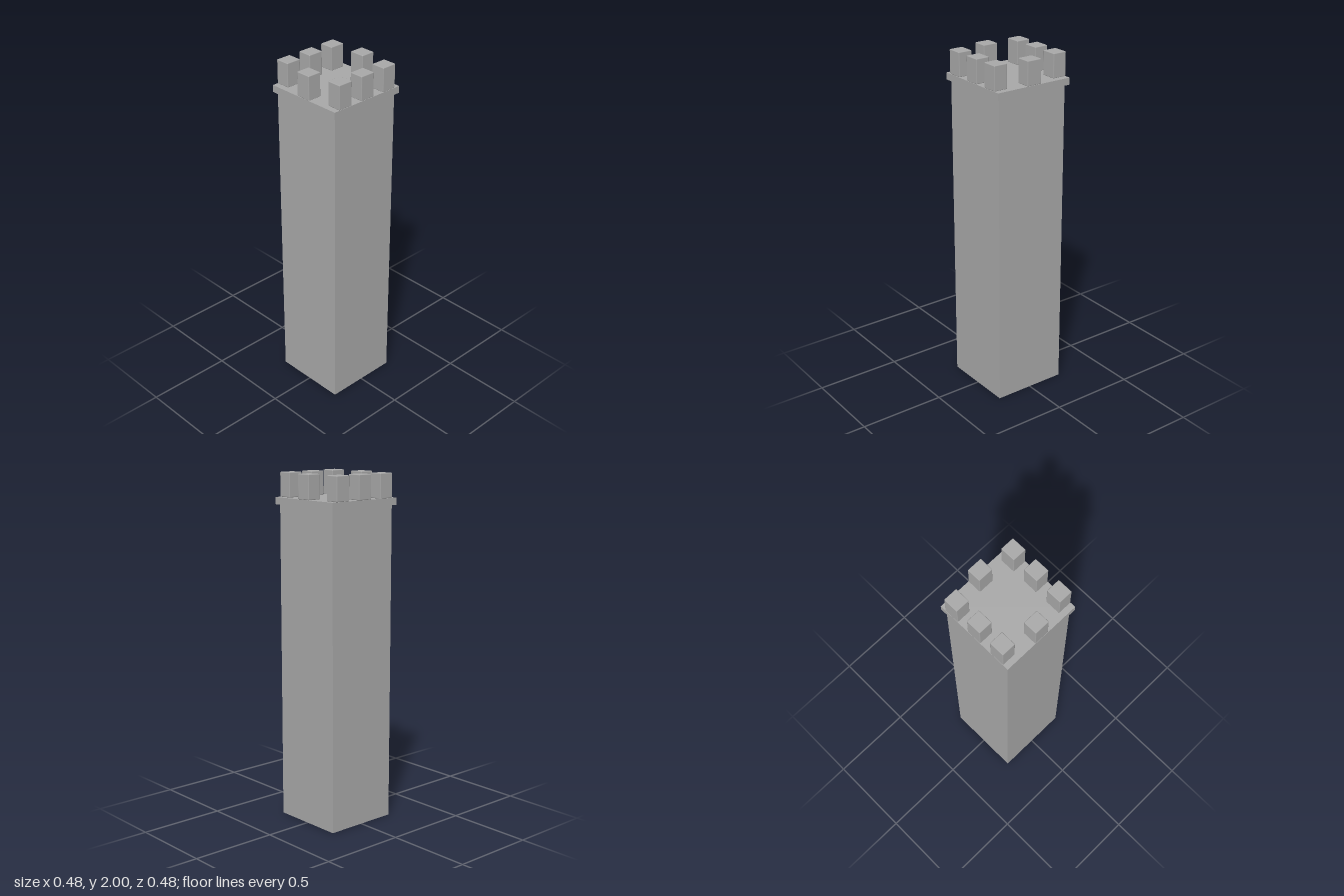
import * as THREE from 'three';
import { RoundedBoxGeometry } from 'three/addons/geometries/RoundedBoxGeometry.js';

const SHAFT_TOP = 1.822, DECK_TOP = 1.862, TOP = 2;

export function createModel() {
  const tower = new THREE.Group();
  tower.name = 'tower';
  const stone = new THREE.MeshStandardMaterial({ color: 0xa8a8a8 });
  stone.name = 'grey stone';

  const add = (name, geometry, x, y, z) => {
    const mesh = new THREE.Mesh(geometry, stone);
    mesh.name = name;
    mesh.position.set(x, y, z);
    tower.add(mesh);
  };

  // Tall square shaft and the slightly wider deck above it
  add('shaft', new THREE.BoxGeometry(0.44, SHAFT_TOP, 0.44), 0, SHAFT_TOP / 2, 0);
  add('deck', new THREE.BoxGeometry(0.476, DECK_TOP - SHAFT_TOP, 0.476), 0, (SHAFT_TOP + DECK_TOP) / 2, 0);

  // Battlements with finely bevelled edges: three front and back, one each side
  const height = TOP - DECK_TOP;
  const y = (DECK_TOP + TOP) / 2;
  const rowBlock = new RoundedBoxGeometry(0.09, height, 0.083, 1, 0.004);
  const sideBlock = new RoundedBoxGeometry(0.083, height, 0.09, 1, 0.004);
  for (const side of [-1, 1]) {
    for (const x of [-0.16, 0, 0.16]) {
      add(side > 0 ? 'frontMerlon' : 'backMerlon', rowBlock, x, y, side * 0.196);
    }
    add(side > 0 ? 'leftMerlon' : 'rightMerlon', sideBlock, side * 0.196, y, 0);
  }
  return tower;
}
